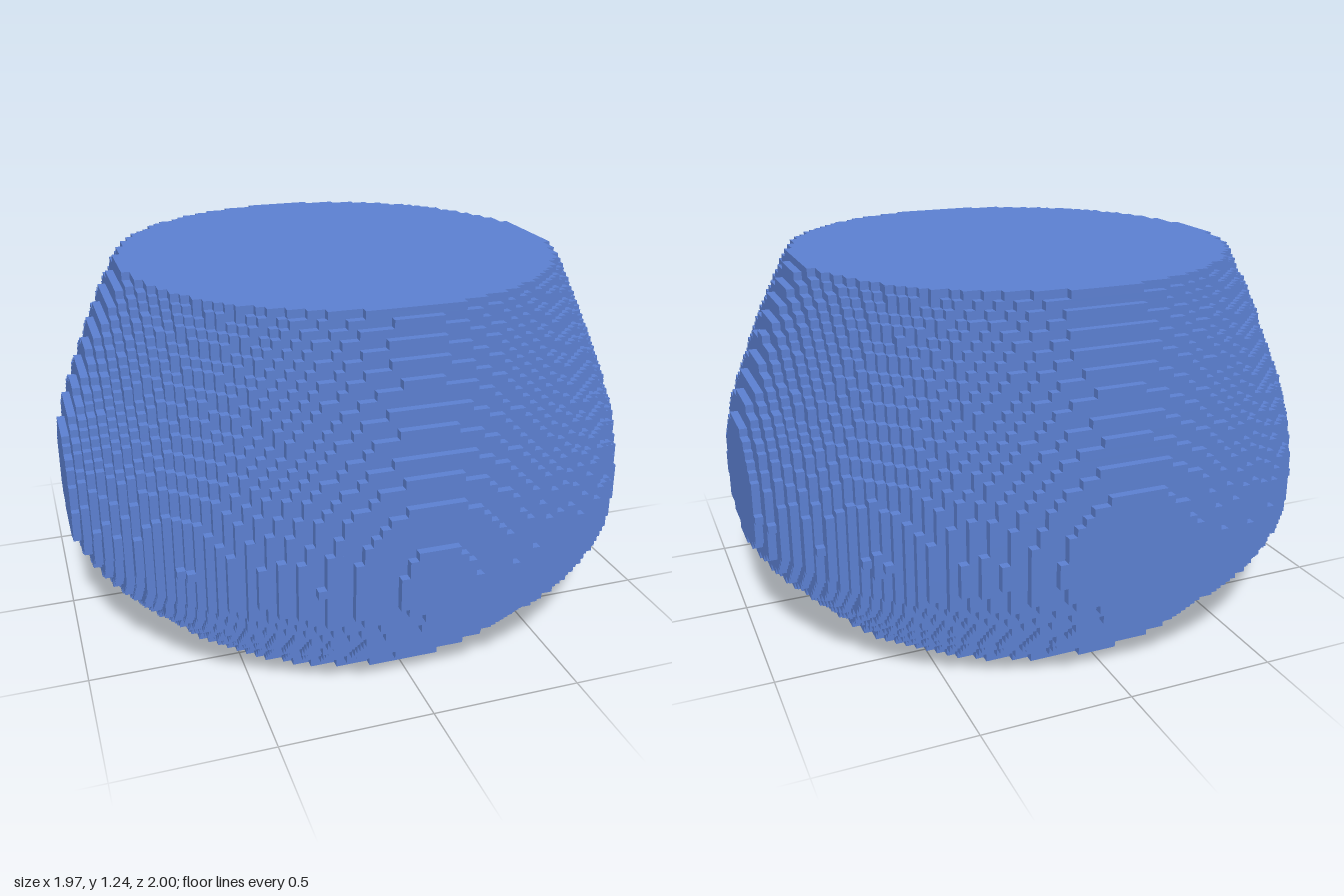
import * as THREE from 'three';

const V = 2 / 76;              // block size
const COLS = 75, ROWS = 76, LAYERS = 47;
const CX = 0.004, CZ = -0.01;  // axis of the bowl relative to the block grid

// Bowl profile: [height, radius]
const PROFILE = [
  [0.013, 0.655], [0.04, 0.745], [0.08, 0.77], [0.12, 0.812], [0.16, 0.855], [0.2, 0.89],
  [0.25, 0.94], [0.3, 0.97], [0.33, 0.985], [0.36, 1.0], [0.46, 1.006], [0.56, 1.0],
  [0.68, 0.98], [0.76, 0.955], [0.86, 0.915], [1.0, 0.86], [1.1, 0.815], [1.24, 0.742],
];

function radiusAt(y) {
  for (let i = 1; i < PROFILE.length; i++) {
    const [y0, r0] = PROFILE[i - 1], [y1, r1] = PROFILE[i];
    if (y <= y1) return THREE.MathUtils.lerp(r0, r1, (y - y0) / (y1 - y0));
  }
  return PROFILE[PROFILE.length - 1][1];
}

// Stair-stepped disc outline: keeps the grid cells whose centres lie inside radius r
function blockDisc(r) {
  const right = [], left = [];
  for (let k = 0; k < ROWS; k++) {
    const z0 = -1 + k * V, dz = z0 + V / 2 - CZ;
    if (Math.abs(dz) >= r) continue;
    const half = Math.sqrt(r * r - dz * dz), edge = -COLS * V / 2;
    const first = Math.max(0, Math.ceil((CX - half - edge) / V - 0.5));
    const last = Math.min(COLS - 1, Math.floor((CX + half - edge) / V - 0.5));
    if (last < first) continue;
    const x0 = edge + first * V, x1 = edge + (last + 1) * V;
    for (const [side, x] of [[right, x1], [left, x0]]) {
      const n = side.length;
      // extend a straight run instead of adding collinear corners
      if (n && Math.abs(side[n - 1].x - x) < 1e-6) side[n - 1].y = z0 + V;
      else side.push(new THREE.Vector2(x, z0), new THREE.Vector2(x, z0 + V));
    }
  }
  return new THREE.Shape([...right, ...left.reverse()]);
}

export function createModel() {
  const model = new THREE.Group();
  model.name = 'blockBowl';
  const blue = new THREE.MeshStandardMaterial({ color: 0x5b7fd0 });
  blue.name = 'blue';

  // One slab of blocks per layer
  for (let j = 0; j < LAYERS; j++) {
    const geometry = new THREE.ExtrudeGeometry(blockDisc(radiusAt((j + 0.5) * V)), {
      depth: V, bevelEnabled: false,
    });
    geometry.rotateX(Math.PI / 2);
    geometry.translate(0, (j + 1) * V, 0);
    const slab = new THREE.Mesh(geometry, blue);
    slab.name = `bowlLayer${j + 1}`;
    model.add(slab);
  }
  return model;
}
